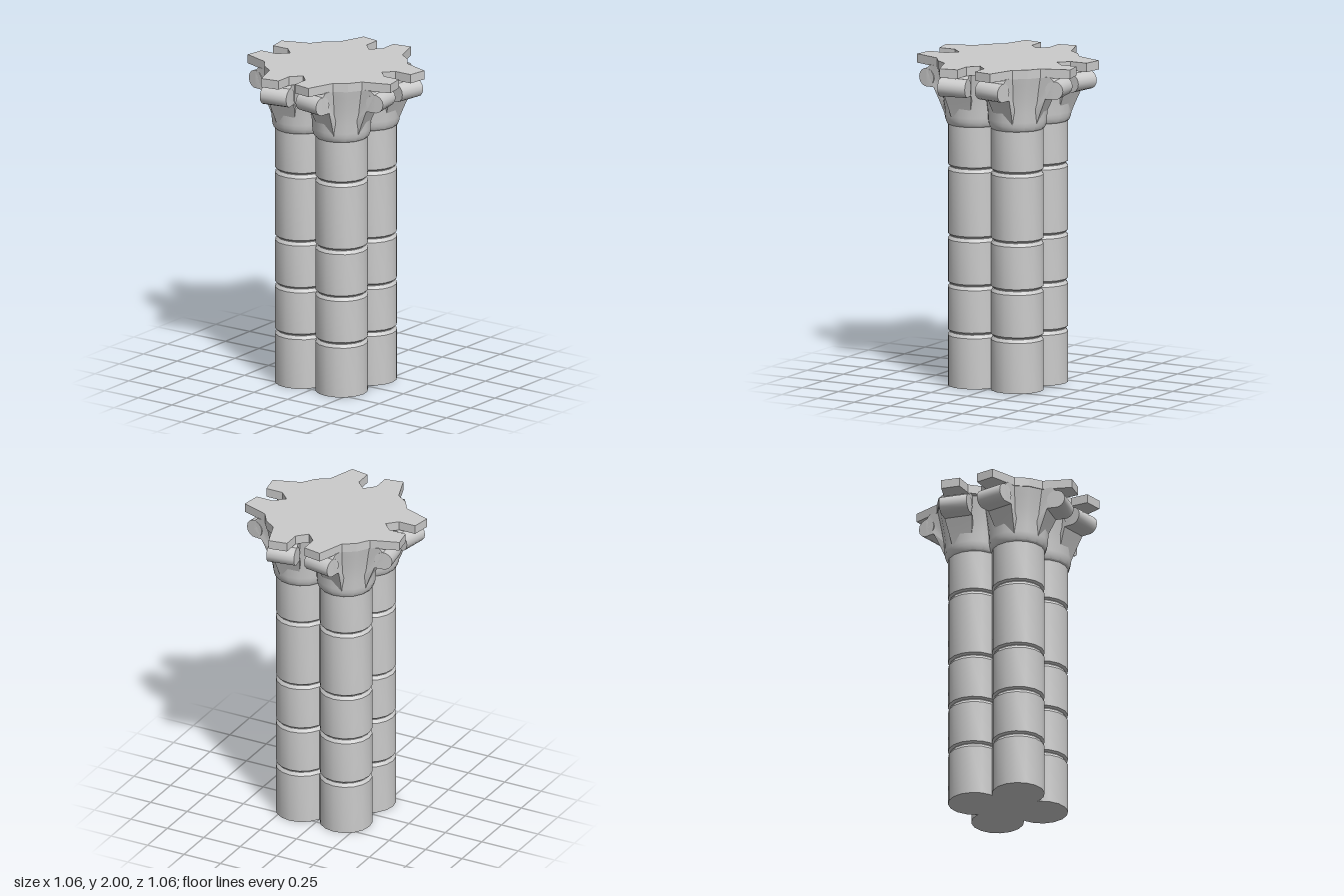
import * as THREE from 'three';
import { toCreasedNormals } from 'three/addons/utils/BufferGeometryUtils.js';

const material = new THREE.MeshStandardMaterial({ color: 0xcccccc });
const SIDES = 16;
const OFFSET = 0.15; // distance of each shaft axis from x = 0 and z = 0

function part(name, geometry, parent) {
  const mesh = new THREE.Mesh(geometry, material);
  mesh.name = name;
  parent.add(mesh);
  return mesh;
}

function turned(profile) {
  const points = profile.map(([r, y]) => new THREE.Vector2(r, y));
  return toCreasedNormals(new THREE.LatheGeometry(points, SIDES), 0.45);
}

// Shaft with four V-shaped grooves between its drums
function shaftGeometry() {
  const r = 0.16;
  const profile = [[0, 0], [r, 0]];
  for (const y of [0.33, 0.625, 0.92, 1.345]) {
    profile.push([r, y - 0.02], [r - 0.014, y], [r - 0.014, y + 0.004], [r, y + 0.015]);
  }
  profile.push([r, 1.62]);
  return turned(profile);
}

// Bell of the capital, rising from a rounded collar
function bellGeometry() {
  return turned([
    [0, 1.605], [0.158, 1.605], [0.168, 1.615], [0.177, 1.64], [0.18, 1.665],
    [0.183, 1.72], [0.197, 1.82], [0.212, 1.9], [0.224, 1.96], [0, 1.96],
  ]);
}

// Leaf below a scroll, narrowing toward the collar
function leafGeometry(width) {
  const shape = new THREE.Shape([
    [0.05, 1.64], [0.155, 1.64], [0.185, 1.72], [0.225, 1.815],
    [0.28, 1.815], [0.28, 1.925], [0.255, 1.95], [0.05, 1.95],
  ].map(([d, y]) => new THREE.Vector2(d, y)));
  const geometry = new THREE.ExtrudeGeometry(shape, { depth: width, bevelEnabled: false });
  geometry.rotateY(-Math.PI / 2).translate(width / 2, 0, 0);
  const pos = geometry.attributes.position;
  for (let i = 0; i < pos.count; i++) {
    const t = THREE.MathUtils.clamp((pos.getY(i) - 1.64) / 0.175, 0, 1);
    pos.setX(i, pos.getX(i) * (0.65 + 0.35 * t));
  }
  geometry.computeVertexNormals();
  return toCreasedNormals(geometry, 0.45);
}

function scrollGeometry(width) {
  const geometry = new THREE.CylinderGeometry(0.057, 0.057, width, 14);
  geometry.rotateZ(Math.PI / 2).translate(0, 1.87, 0.281);
  return toCreasedNormals(geometry, 0.6);
}

// Top plate with eight tongues: one quarter of the outline, turned four times
function plateGeometry() {
  const quarter = [
    [0, 0.34], [0.06, 0.4], [0.06, 0.51], [0.175, 0.53], [0.235, 0.36],
    [0.31, 0.31], [0.36, 0.235], [0.53, 0.175], [0.51, 0.06], [0.4, 0.06],
  ];
  const outline = [];
  for (let q = 0; q < 4; q++) {
    const c = Math.round(Math.cos(q * Math.PI / 2));
    const s = Math.round(Math.sin(q * Math.PI / 2));
    for (const [x, y] of quarter) outline.push(new THREE.Vector2(x * c + y * s, y * c - x * s));
  }
  const geometry = new THREE.ExtrudeGeometry(new THREE.Shape(outline), { depth: 0.055, bevelEnabled: false });
  return geometry.rotateX(-Math.PI / 2).translate(0, 1.945, 0);
}

export function createModel() {
  const model = new THREE.Group();
  model.name = 'clusteredColumn';

  // Solid core filling the gap between the shafts
  part('core', new THREE.BoxGeometry(0.3, 1.96, 0.3).translate(0, 0.98, 0), model);

  // Four clustered shafts with their bells
  const shaft = shaftGeometry();
  const bell = bellGeometry();
  for (const x of [-OFFSET, OFFSET]) {
    for (const z of [-OFFSET, OFFSET]) {
      part('shaft', shaft, model).position.set(x, 0, z);
      part('capitalBell', bell, model).position.set(x, 0, z);
    }
  }

  // A mirrored pair of scroll brackets on each of the four faces
  const leaf = leafGeometry(0.175);
  const scroll = scrollGeometry(0.175);
  for (let q = 0; q < 4; q++) {
    const face = new THREE.Group();
    face.name = 'bracketPair';
    face.rotation.y = q * Math.PI / 2;
    for (const side of [-1, 1]) {
      const bracket = new THREE.Group();
      bracket.name = 'bracket';
      bracket.position.set(side * 0.18, 0, OFFSET);
      bracket.rotation.y = -side * 0.174;
      part('leaf', leaf, bracket);
      part('scroll', scroll, bracket);
      face.add(bracket);
    }
    model.add(face);
  }

  part('topPlate', plateGeometry(), model);
  return model;
}
